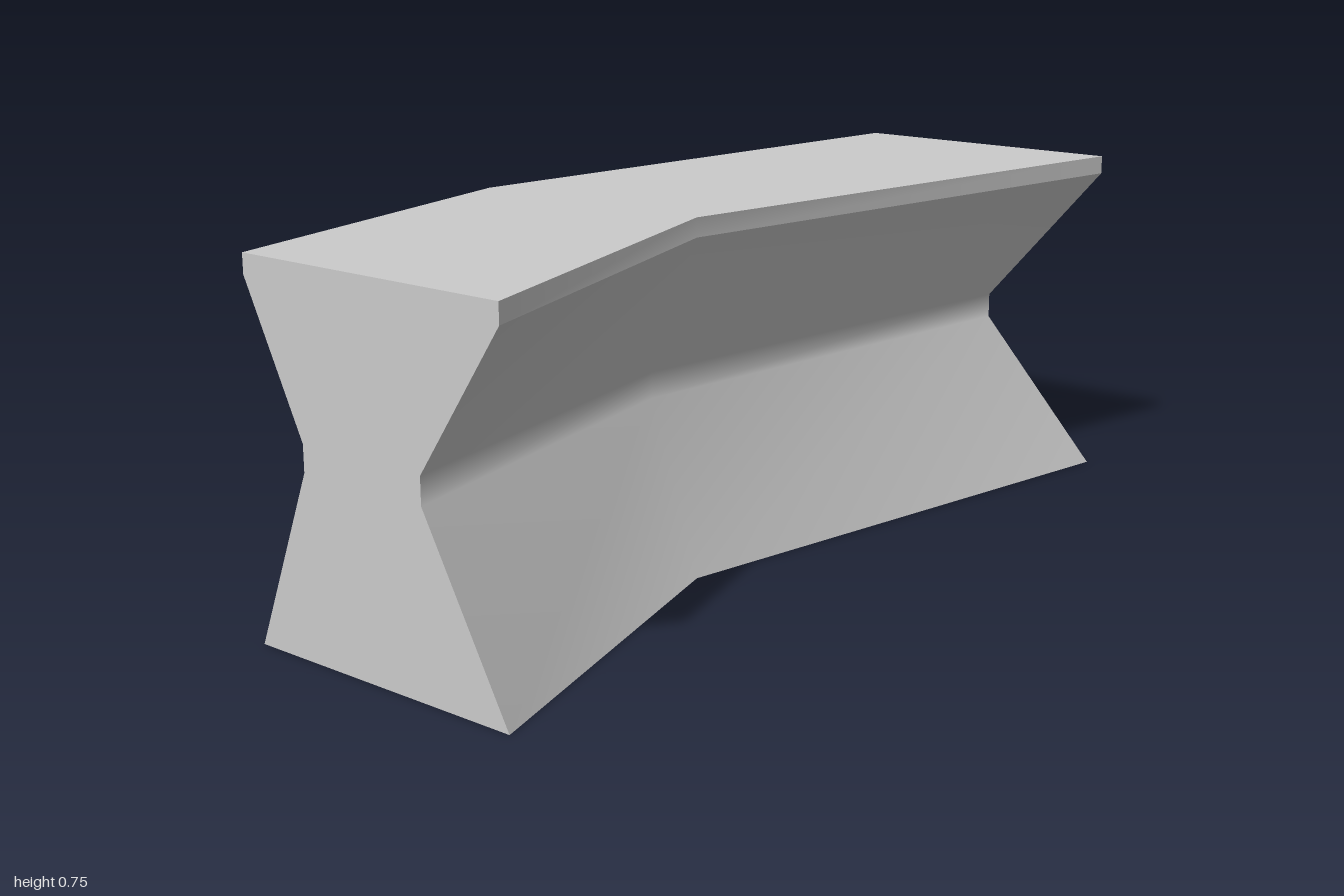
import * as THREE from 'three';

// Plan outlines, each: front left, middle, right, then back left, middle, right (x, z)
const FULL = [[-1, 0.396], [-0.22, 0.168], [1, 0.396], [-1, -0.24], [-0.22, -0.397], [1, -0.24]];
const WAIST = [[-1, 0.2], [-0.225, 0.055], [0.843, 0.2], [-1, -0.1], [-0.22, -0.212], [0.843, -0.092]];

const level = (outline, y) => outline.map(([x, z]) => [x, y, z]);
const pick = (levels, columns) => levels.map((l) => columns.map((c) => l[c]));

// Smooth patch from rows of points: bottom to top, left to right seen from outside
function patch(rows, name, material) {
  const n = rows[0].length;
  const index = [];
  for (let r = 0; r < rows.length - 1; r++) {
    for (let c = 0; c < n - 1; c++) {
      const a = r * n + c, b = a + 1, d = a + n, e = d + 1;
      index.push(a, b, e, a, e, d);
    }
  }
  const geometry = new THREE.BufferGeometry();
  geometry.setAttribute('position', new THREE.Float32BufferAttribute(rows.flat(2), 3));
  geometry.setIndex(index);
  geometry.computeVertexNormals();
  const mesh = new THREE.Mesh(geometry, material);
  mesh.name = name;
  return mesh;
}

export function createModel() {
  const group = new THREE.Group();
  group.name = 'bentCounter';
  const material = new THREE.MeshStandardMaterial({ color: 0xcccccc });

  const body = [level(FULL, 0), level(WAIST, 0.362), level(WAIST, 0.416), level(FULL, 0.705)];
  const lip = [level(FULL, 0.705), level(FULL, 0.745)];
  const sides = { front: [0, 1, 2], right: [2, 5], back: [5, 4, 3], left: [3, 0] };

  // Pinched walls and the narrow upright lip around the top
  for (const [side, columns] of Object.entries(sides)) {
    // The model's own left is +x
    const label = { right: 'left', left: 'right' }[side] ?? side;
    group.add(patch(pick(body, columns), label + 'Wall', material));
    group.add(patch(pick(lip, columns), label + 'Lip', material));
  }

  // Flat top and underside
  const top = lip[1], base = body[0];
  group.add(patch([top.slice(0, 3), top.slice(3)], 'top', material));
  group.add(patch([base.slice(3), base.slice(0, 3)], 'underside', material));
  return group;
}
